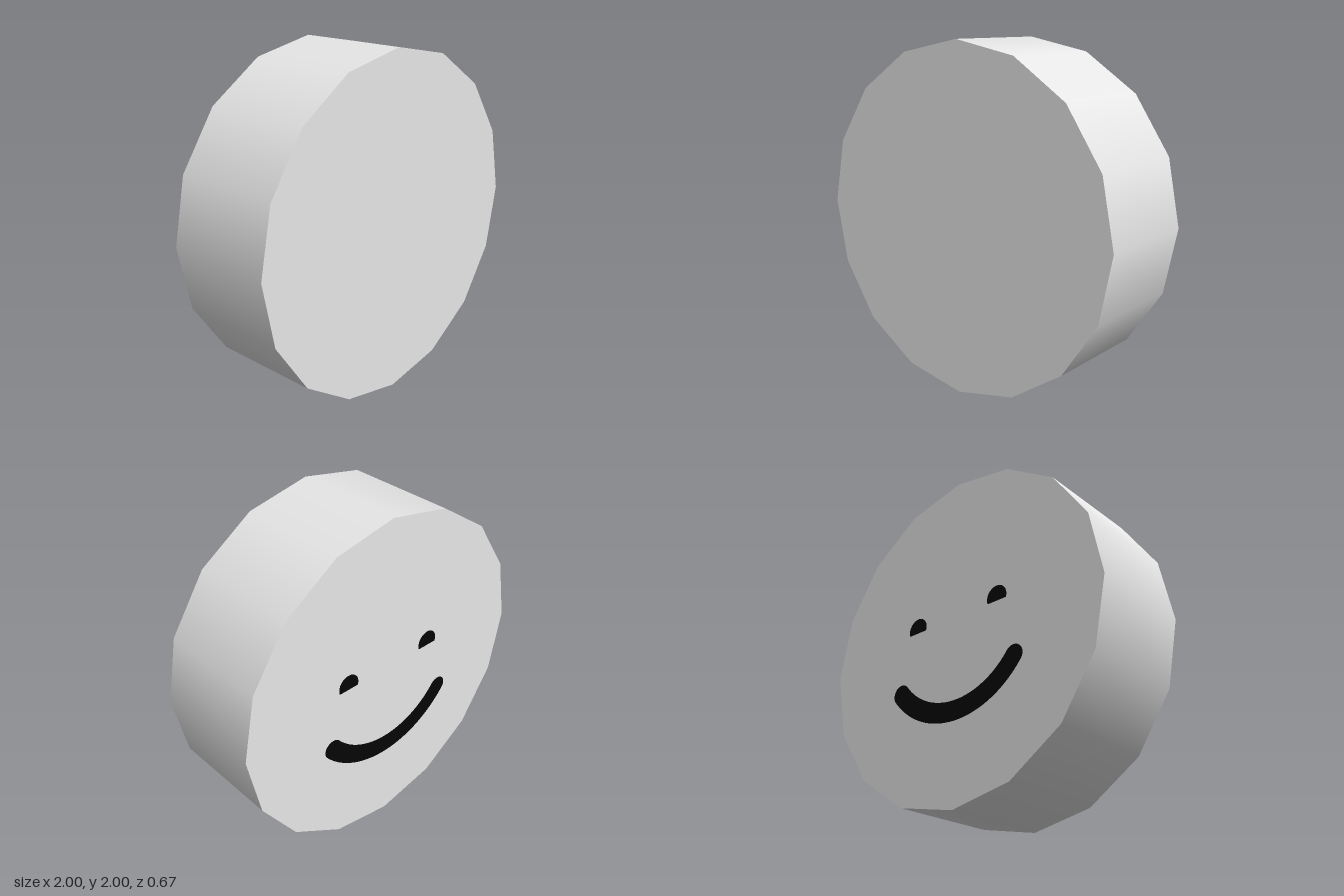
import * as THREE from 'three';

const HALF_DEPTH = 0.333;

export function createModel() {
  const model = new THREE.Group();
  model.name = 'smilingDisc';

  const paleGrey = new THREE.MeshStandardMaterial({ color: 0xe7e7e7 });
  paleGrey.name = 'paleGrey';
  const black = new THREE.MeshStandardMaterial({ color: 0x050505 });
  black.name = 'black';

  // Sixteen-sided disc standing on edge, smooth around the rim
  const discGeometry = new THREE.CylinderGeometry(1, 1, HALF_DEPTH * 2, 16);
  discGeometry.rotateX(Math.PI / 2);
  const disc = new THREE.Mesh(discGeometry, paleGrey);
  disc.name = 'disc';
  disc.position.y = 1;
  model.add(disc);

  // Face painted on the back, laid out from the disc's centre
  const face = new THREE.Group();
  face.name = 'face';
  face.position.y = 1;
  face.rotation.y = Math.PI;
  model.add(face);

  const addPlate = (name, shape) => {
    const geometry = new THREE.ExtrudeGeometry(shape, { depth: 0.003, bevelEnabled: false, curveSegments: 24 });
    const plate = new THREE.Mesh(geometry, black);
    plate.name = name;
    plate.position.z = HALF_DEPTH;
    face.add(plate);
  };

  // Domed eyes with a flat lower edge
  for (const [name, x] of [['leftEye', -0.304], ['rightEye', 0.304]]) {
    const eye = new THREE.Shape();
    eye.absarc(x, 0.118, 0.068, -0.345, Math.PI + 0.345, false);
    eye.closePath();
    addPlate(name, eye);
  }

  // Smile: an arc band with round ends
  const radius = 0.541, centreY = 0.081, halfWidth = 0.058, halfAngle = 0.888;
  const start = Math.PI * 1.5 - halfAngle;
  const end = Math.PI * 1.5 + halfAngle;
  const tipX = radius * Math.cos(end);
  const tipY = centreY + radius * Math.sin(end);
  const smile = new THREE.Shape();
  smile.absarc(0, centreY, radius + halfWidth, start, end, false);
  smile.absarc(tipX, tipY, halfWidth, end, end + Math.PI, false);
  smile.absarc(0, centreY, radius - halfWidth, end, start, true);
  smile.absarc(-tipX, tipY, halfWidth, start + Math.PI, start + Math.PI * 2, false);
  addPlate('smile', smile);

  return model;
}
